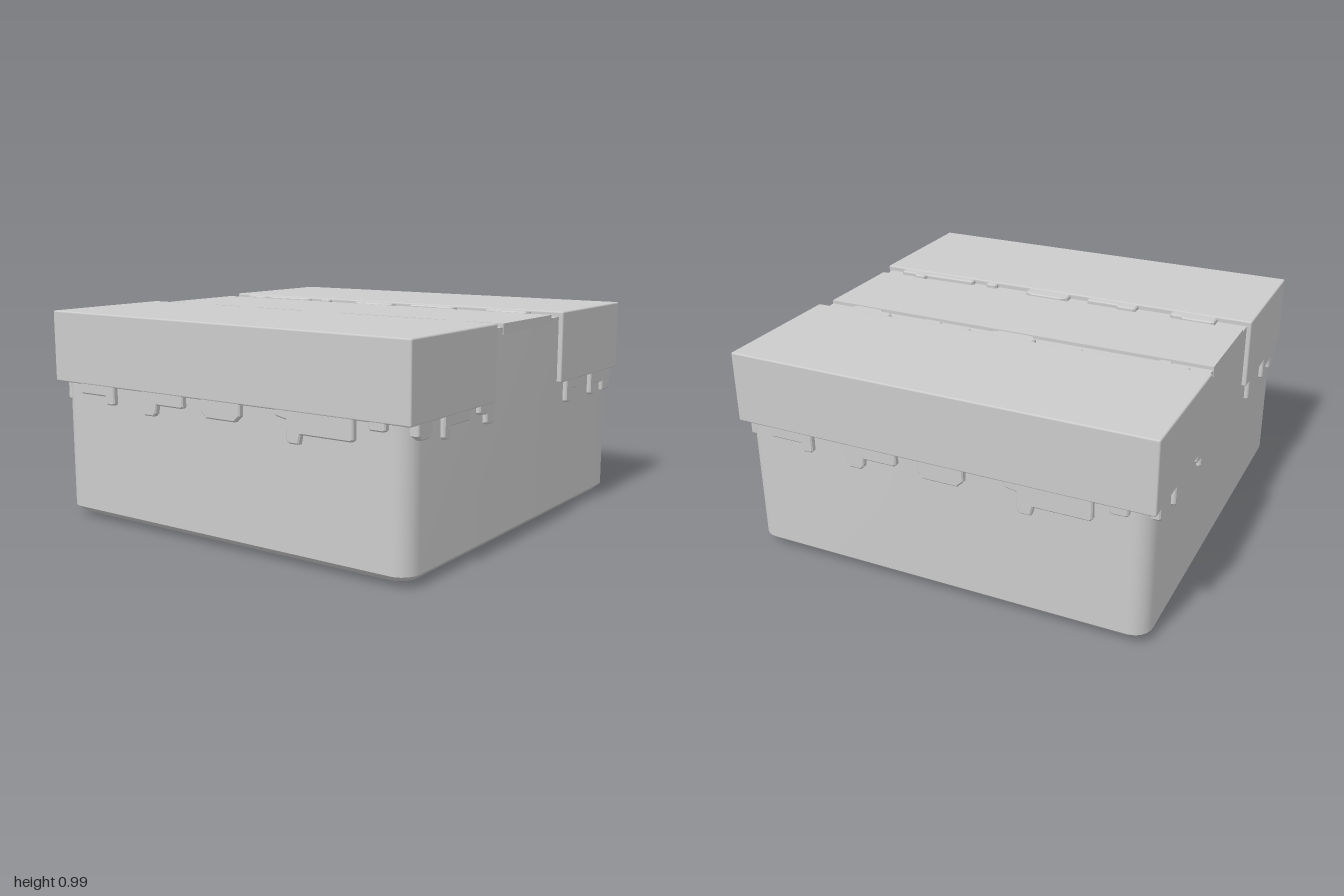
import * as THREE from 'three';
import { toCreasedNormals } from 'three/addons/utils/BufferGeometryUtils.js';
import { RoundedBoxGeometry } from 'three/addons/geometries/RoundedBoxGeometry.js';

const material = new THREE.MeshStandardMaterial({ color: 0xcccccc });

function part(name, geometry) {
  const mesh = new THREE.Mesh(geometry, material);
  mesh.name = name;
  return mesh;
}

// Corner points of a rounded square, counter-clockwise in x and z
function roundedSquare(half, radius, steps = 6) {
  const points = [];
  for (let corner = 0; corner < 4; corner++) {
    const mid = Math.PI / 4 + corner * Math.PI / 2;
    const cx = Math.sign(Math.cos(mid)) * (half - radius);
    const cz = Math.sign(Math.sin(mid)) * (half - radius);
    for (let i = 0; i <= steps; i++) {
      const a = (corner + i / steps) * Math.PI / 2;
      points.push([cx + radius * Math.cos(a), cz + radius * Math.sin(a)]);
    }
  }
  return points;
}

// Block body: rounded squares stacked upward, closed at both ends
function bodyGeometry() {
  const sections = [
    [0, 0.80, 0.06], [0.007, 0.89, 0.07], [0.023, 0.945, 0.08],
    [0.05, 0.973, 0.085], [0.965, 0.973, 0.085],
  ];
  const positions = [], index = [];
  for (const [y, half, radius] of sections)
    for (const [x, z] of roundedSquare(half, radius)) positions.push(x, y, z);
  const n = positions.length / 3 / sections.length;
  for (let s = 0; s < sections.length - 1; s++) {
    for (let i = 0; i < n; i++) {
      const a = s * n + i, b = s * n + (i + 1) % n;
      index.push(a, a + n, b, b, a + n, b + n);
    }
  }
  const top = (sections.length - 1) * n;
  for (let i = 1; i < n - 1; i++) {
    index.push(0, i, i + 1);
    index.push(top, top + i + 1, top + i);
  }
  const geometry = new THREE.BufferGeometry();
  geometry.setAttribute('position', new THREE.Float32BufferAttribute(positions, 3));
  geometry.setIndex(index);
  return toCreasedNormals(geometry, 0.7);
}

// A row of thin drips, each an outline hanging from the line v = base
function drips(name, outlines, base) {
  const group = new THREE.Group();
  group.name = name;
  const bevel = 0.006;
  for (const outline of outlines) {
    const first = outline[0][0], last = outline[outline.length - 1][0];
    const shape = new THREE.Shape([
      [first, base], ...outline, [last, base],
    ].map(([u, v]) => new THREE.Vector2(u, v)));
    const geometry = new THREE.ExtrudeGeometry(shape, {
      depth: 0.034, bevelThickness: bevel, bevelSize: bevel, bevelOffset: -bevel, bevelSegments: 1,
    });
    geometry.translate(0, 0, -0.034 - bevel);
    group.add(part('drip', geometry));
  }
  return group;
}

const frontOutlines = [
  [[-0.83, 0.62], [-0.82, 0.61], [-0.665, 0.61], [-0.66, 0.58], [-0.65, 0.572], [-0.615, 0.572], [-0.605, 0.58]],
  [[-0.43, 0.57], [-0.41, 0.55], [-0.355, 0.55], [-0.34, 0.565], [-0.335, 0.602], [-0.185, 0.602], [-0.175, 0.61]],
  [[-0.07, 0.605], [-0.04, 0.577], [0.12, 0.577], [0.15, 0.605]],
  [[0.335, 0.64], [0.345, 0.63], [0.395, 0.62], [0.395, 0.54], [0.41, 0.523], [0.46, 0.523], [0.47, 0.565], [0.72, 0.565], [0.73, 0.575]],
  [[0.8, 0.63], [0.81, 0.622], [0.87, 0.622], [0.88, 0.63]],
];

const sideOutlines = [
  [[-0.94, 0.61], [-0.915, 0.59], [-0.855, 0.59], [-0.835, 0.61]],
  [[-0.745, 0.575], [-0.735, 0.563], [-0.7, 0.563], [-0.69, 0.575], [-0.69, 0.612], [-0.54, 0.612], [-0.53, 0.62]],
  [[-0.46, 0.63], [-0.45, 0.62], [-0.4, 0.615], [-0.4, 0.58], [-0.385, 0.57], [-0.335, 0.57], [-0.325, 0.58]],
  [[0.395, 0.56], [0.41, 0.55], [0.445, 0.55], [0.457, 0.565], [0.46, 0.61], [0.515, 0.61], [0.525, 0.62]],
  [[0.68, 0.56], [0.69, 0.55], [0.73, 0.55], [0.74, 0.6], [0.825, 0.6], [0.83, 0.555], [0.92, 0.555], [0.93, 0.565]],
];

const topOutlines = [
  [[-0.83, -0.265], [-0.815, -0.255], [-0.675, -0.255], [-0.66, -0.275], [-0.62, -0.275], [-0.605, -0.29]],
  [[-0.43, -0.28], [-0.42, -0.27], [-0.34, -0.27], [-0.33, -0.29], [-0.175, -0.29], [-0.17, -0.3]],
  [[-0.07, -0.28], [-0.04, -0.255], [0.12, -0.255], [0.155, -0.28]],
  [[0.335, -0.305], [0.345, -0.293], [0.385, -0.293], [0.395, -0.305]],
  [[0.47, -0.3], [0.48, -0.29], [0.735, -0.285], [0.745, -0.262], [0.795, -0.262], [0.805, -0.285], [0.88, -0.285], [0.89, -0.295]],
];

// One half of the covering: slab, its drips and the drips of one side
function coverHalf() {
  const half = new THREE.Group();
  const slab = part('coverSlab', new RoundedBoxGeometry(1.99, 0.335, 0.677, 2, 0.008));
  slab.position.set(0, 0.8225, 0.6615);

  const front = drips('frontDrips', frontOutlines, 0.67);
  front.position.z = 0.998;

  const side = drips('sideDrips', sideOutlines, 0.67);
  side.rotation.y = Math.PI / 2;
  side.position.x = 0.993;

  const top = drips('topDrips', topOutlines, -0.34);
  top.rotation.x = -Math.PI / 2;
  top.position.y = 0.986;

  half.add(slab, front, side, top);
  return half;
}

export function createModel() {
  const model = new THREE.Group();
  model.name = 'pathBlock';
  model.add(part('body', bodyGeometry()));

  // Strip running across the top between the two slabs
  const strip = part('pathStrip', new THREE.BoxGeometry(1.952, 0.046, 0.475));
  strip.position.y = 0.958;
  model.add(strip);

  // The covering repeats after a half turn
  for (const [name, turn] of [['frontCover', 0], ['backCover', Math.PI]]) {
    const cover = coverHalf();
    cover.name = name;
    cover.rotation.y = turn;
    model.add(cover);
  }
  return model;
}
